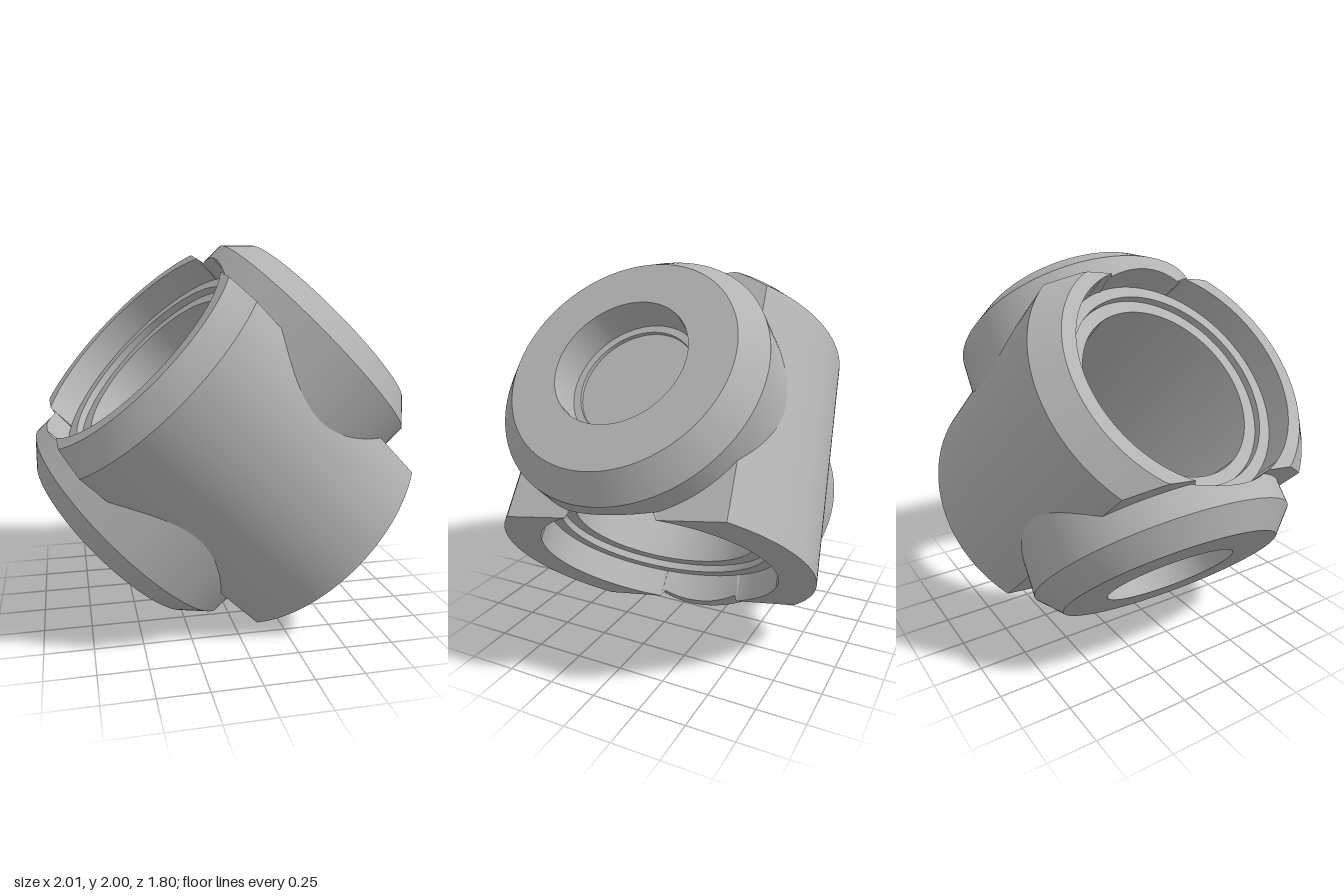
import * as THREE from 'three';
import { toCreasedNormals } from 'three/addons/utils/BufferGeometryUtils.js';

const SEGMENTS = 192;
const OUTER = 0.815;        // barrel radius
const FLAT = OUTER * Math.SQRT1_2; // distance of the two flats from the axis
const END = 0.707;          // half length of the barrel
const RECESS = FLAT / Math.cos(Math.PI / 8); // recess radius, slightly wider than the flats
const BOSS = 0.707;         // boss radius

const crease = (g) => toCreasedNormals(g.index ? g.toNonIndexed() : g, 0.35);

// Closed radial section of the barrel at one angle, as [radius, axial] pairs
function barrelSection(angle) {
  const flat = FLAT / Math.max(Math.abs(Math.cos(angle)), 1e-6);
  const r = Math.min(OUTER, flat);
  const notch = r < RECESS - 1e-6; // the recess breaks through the flat here
  const rim = notch ? Math.sqrt(BOSS ** 2 - (RECESS * Math.sin(angle)) ** 2) : END;
  const edge = Math.max(r, RECESS);
  const back = notch ? 0.5 : END;
  // the -x end has a bevelled outer rim
  const bevelR = notch ? RECESS : Math.min(r, 0.698);
  const bevelX = notch ? 0.5 : Math.min(END, 0.59 + OUTER - r);
  return [
    [0.49, 0.51], [0.56, 0.51], [0.56, 0.55], [RECESS, 0.55], [RECESS, rim],
    [edge, rim], [edge, back], [r, back],
    [r, -bevelX], [bevelR, -(notch ? 0.5 : END)], [bevelR, -rim], [RECESS, -rim],
    [RECESS, -0.55], [0.56, -0.55], [0.56, -0.51], [0.49, -0.51],
  ];
}

function barrelGeometry() {
  const position = [], index = [];
  const count = barrelSection(0).length;
  for (let i = 0; i < SEGMENTS; i++) {
    const angle = (i / SEGMENTS) * Math.PI * 2;
    for (const [r, x] of barrelSection(angle)) {
      position.push(x, r * Math.cos(angle), r * Math.sin(angle));
    }
  }
  for (let i = 0; i < SEGMENTS; i++) {
    const next = (i + 1) % SEGMENTS;
    for (let j = 0; j < count; j++) {
      const k = (j + 1) % count;
      const a = i * count + j, b = i * count + k;
      const c = next * count + j, d = next * count + k;
      index.push(a, b, c, b, d, c);
    }
  }
  const g = new THREE.BufferGeometry();
  g.setAttribute('position', new THREE.Float32BufferAttribute(position, 3));
  g.setIndex(index);
  return crease(g);
}

// Bevelled round boss with a blind hole; its lower rim follows the barrel
function bossGeometry() {
  const profile = [
    [BOSS, 0.4], [BOSS, 0.707], [0.59, 0.827], [0.35, 0.827],
    [0.35, 0.635], [0.31, 0.635], [0.31, 0.615], [0, 0.615],
  ].map(([r, y]) => new THREE.Vector2(r, y));
  const g = new THREE.LatheGeometry(profile, 128);
  const p = g.attributes.position;
  for (let i = 0; i < p.count; i++) {
    if (p.getY(i) > 0.41) continue;
    const z = p.getZ(i);
    const onBarrel = Math.min(FLAT, Math.sqrt(OUTER ** 2 - z * z));
    const onRecess = Math.sqrt(Math.max(0, RECESS ** 2 - z * z));
    p.setY(i, Math.abs(z) < 0.2386 ? Math.max(onBarrel, onRecess) : onBarrel);
  }
  return crease(g);
}

export function createModel() {
  const metal = new THREE.MeshStandardMaterial({ color: 0xb4b4b4, side: THREE.DoubleSide });
  metal.name = 'grey metal';

  const fitting = new THREE.Group();
  fitting.name = 'fitting';

  const barrel = new THREE.Mesh(barrelGeometry(), metal);
  barrel.name = 'barrel';
  fitting.add(barrel);

  // Two opposite bosses
  const bossShape = bossGeometry();
  ['upperBoss', 'lowerBoss'].forEach((name, i) => {
    const boss = new THREE.Mesh(bossShape, metal);
    boss.name = name;
    boss.rotation.x = i * Math.PI;
    fitting.add(boss);
  });

  // Tilt: x is the barrel axis, y the boss axis
  const xAxis = new THREE.Vector3(0.7, -0.7, -0.14).normalize();
  const zAxis = xAxis.clone().cross(new THREE.Vector3(0.7, 0.7, 0.06)).normalize();
  const yAxis = zAxis.clone().cross(xAxis);
  fitting.quaternion.setFromRotationMatrix(new THREE.Matrix4().makeBasis(xAxis, yAxis, zAxis));
  fitting.position.y = 1;

  const model = new THREE.Group();
  model.name = 'model';
  model.add(fitting);
  return model;
}
